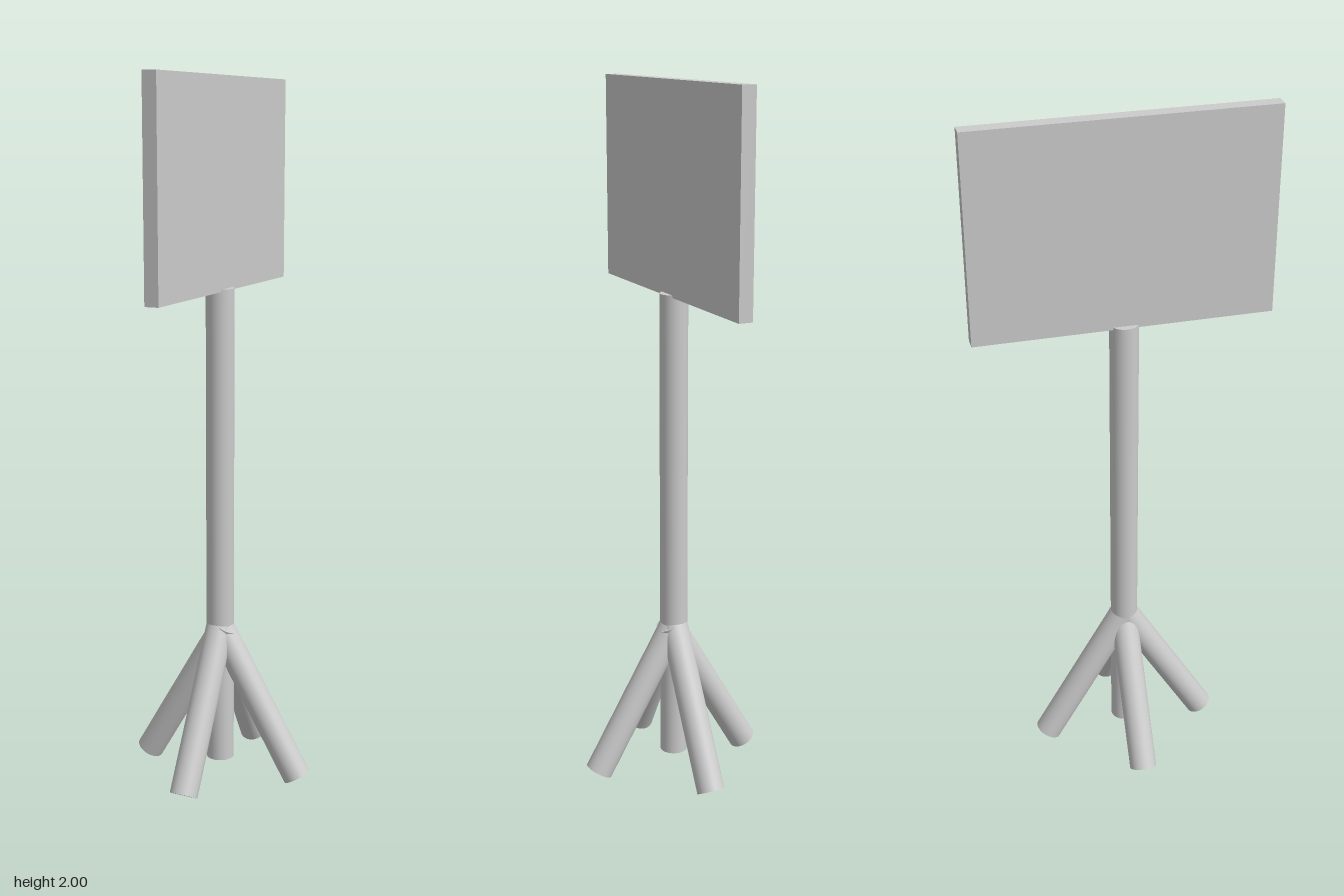
import * as THREE from 'three';

const RADIUS = 0.04;
const material = new THREE.MeshStandardMaterial({ color: 0xcccccc });

// Capped round bar running from one point to another
function bar(name, from, to) {
  const direction = to.clone().sub(from);
  const geometry = new THREE.CylinderGeometry(RADIUS, RADIUS, direction.length(), 32);
  const mesh = new THREE.Mesh(geometry, material);
  mesh.name = name;
  mesh.position.copy(from).add(to).multiplyScalar(0.5);
  mesh.quaternion.setFromUnitVectors(new THREE.Vector3(0, 1, 0), direction.normalize());
  return mesh;
}

export function createModel() {
  const group = new THREE.Group();
  group.name = 'signpost';
  const cx = -0.006, cz = 0.002;

  // Upright post, ending just above the ground between the legs
  group.add(bar('post', new THREE.Vector3(cx, 0.04, cz), new THREE.Vector3(cx, 1.43, cz)));

  // Thin sign panel, broad faces to the sides
  const panel = new THREE.Mesh(new THREE.BoxGeometry(0.04, 0.577, 0.824), material);
  panel.name = 'signPanel';
  panel.position.set(cx, 1.7115, 0);
  group.add(panel);

  // Four legs splayed 30 degrees from vertical
  const legs = [
    ['leftLeg', 0.239, cz, -1, 0],
    ['rightLeg', -0.239, cz, 1, 0],
    ['frontLeg', cx, 0.249, 0, -1],
    ['backLeg', cx, -0.245, 0, 1],
  ];
  for (const [name, x, z, inX, inZ] of legs) {
    const foot = new THREE.Vector3(x, 0.02, z);
    const top = new THREE.Vector3(x + inX * 0.25, 0.453, z + inZ * 0.25);
    group.add(bar(name, foot, top));
  }
  return group;
}
